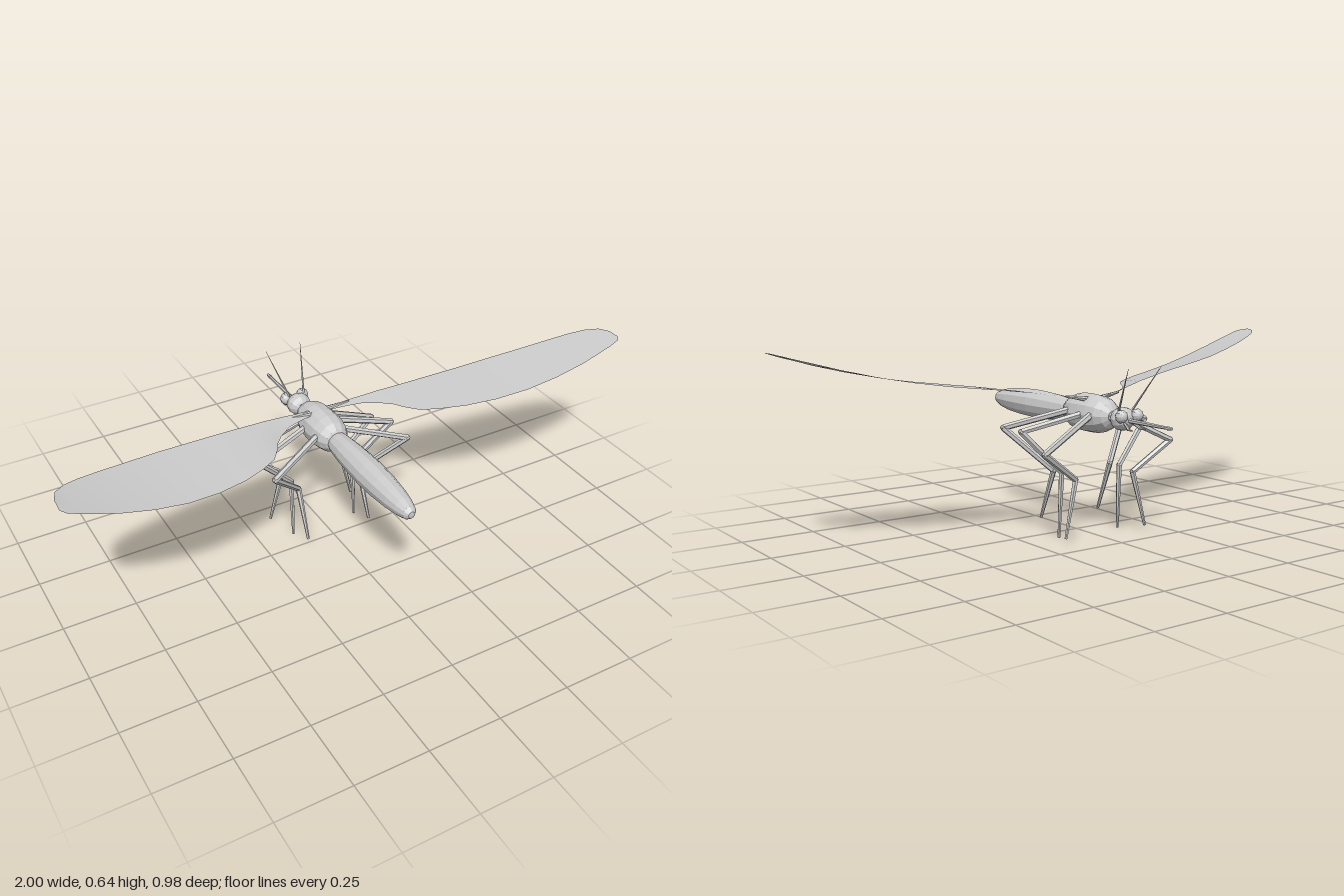
import * as THREE from 'three';

const grey = new THREE.MeshStandardMaterial({ color: 0xcccccc, flatShading: true });
const wingGrey = new THREE.MeshStandardMaterial({ color: 0xcccccc, side: THREE.DoubleSide });
const V = (x, y, z) => new THREE.Vector3(x, y, z);

function add(parent, name, geometry, material = grey) {
  const mesh = new THREE.Mesh(geometry, material);
  mesh.name = name;
  parent.add(mesh);
  return mesh;
}

// Round body turned about the z axis from [radius, z] pairs
function turned(parent, name, y, profile, sides = 12) {
  const geometry = new THREE.LatheGeometry(profile.map(([r, z]) => new THREE.Vector2(r, z)), sides);
  geometry.rotateX(Math.PI / 2);
  add(parent, name, geometry).position.y = y;
}

// Tapered rod between two points
function rod(parent, name, a, b, ra, rb, sides = 6) {
  const dir = b.clone().sub(a);
  const mesh = add(parent, name, new THREE.CylinderGeometry(rb, ra, dir.length(), sides));
  mesh.position.copy(a).add(b).multiplyScalar(0.5);
  mesh.quaternion.setFromUnitVectors(V(0, 1, 0), dir.normalize());
}

function ball(parent, name, center, rx, ry, rz, w = 12, h = 8) {
  const mesh = add(parent, name, new THREE.SphereGeometry(1, w, h).rotateX(Math.PI / 2));
  mesh.scale.set(rx, ry, rz);
  mesh.position.copy(center);
}

// Wing stations: distance from body, leading z, trailing z, height
const wingStations = [
  [0.03, -0.115, -0.088, 0.465], [0.09, -0.1, -0.07, 0.473], [0.14, -0.092, -0.05, 0.48],
  [0.19, -0.082, -0.01, 0.487], [0.22, -0.076, 0.025, 0.492], [0.24, -0.072, 0.06, 0.494],
  [0.275, -0.065, 0.107, 0.498], [0.33, -0.054, 0.142, 0.505], [0.41, -0.04, 0.18, 0.514],
  [0.51, -0.022, 0.212, 0.526], [0.62, 0, 0.236, 0.543], [0.73, 0.032, 0.25, 0.566],
  [0.835, 0.066, 0.256, 0.592], [0.9, 0.092, 0.255, 0.611], [0.95, 0.117, 0.253, 0.625],
  [0.985, 0.15, 0.249, 0.636], [1, 0.19, 0.235, 0.641],
];

function wingGeometry(side, twist) {
  const across = 4, pos = [], index = [];
  wingStations.forEach(([x, lead, trail, y], i) => {
    const blend = Math.sin(Math.PI * Math.min(1, x * 0.95));
    for (let j = 0; j <= across; j++) {
      const t = j / across;
      pos.push(side * x, y + twist * blend * (1 - 2 * t), lead + (trail - lead) * t);
      if (i && j) {
        const d = i * (across + 1) + j, c = d - 1, b = d - across - 1, a = b - 1;
        if (side > 0) index.push(a, b, c, c, b, d);
        else index.push(a, c, b, c, d, b);
      }
    }
  });
  const geometry = new THREE.BufferGeometry();
  geometry.setAttribute('position', new THREE.Float32BufferAttribute(pos, 3));
  geometry.setIndex(index);
  geometry.computeVertexNormals();
  return geometry;
}

// Leg joints [x, y, z] from hip to foot
const legs = {
  frontLeg: [[0.05, 0.415, -0.145], [0.262, 0.31, -0.185], [0.12, 0.21, -0.157], [0.167, 0.02, -0.167]],
  middleLeg: [[0.05, 0.415, -0.1], [0.26, 0.367, -0.05], [0.122, 0.222, -0.082], [0.125, 0, -0.07]],
  rearLeg: [[0.05, 0.42, -0.025], [0.255, 0.367, 0.065], [0.12, 0.222, -0.033], [0.122, 0.05, 0.038]],
};
const legRadii = [0.012, 0.011, 0.01, 0.005];

export function createModel() {
  const model = new THREE.Group();
  model.name = 'mosquito';

  // Body
  turned(model, 'abdomen', 0.411, [[0, -0.01], [0.03, 0], [0.039, 0.04], [0.045, 0.1], [0.049, 0.17],
    [0.051, 0.24], [0.048, 0.32], [0.042, 0.39], [0.034, 0.44], [0.024, 0.475], [0.012, 0.488], [0, 0.49]]);
  turned(model, 'thorax', 0.413, [[0, -0.202], [0.022, -0.2], [0.042, -0.187], [0.056, -0.162], [0.064, -0.125],
    [0.066, -0.083], [0.064, -0.04], [0.056, -0.003], [0.042, 0.022], [0.022, 0.034], [0, 0.036]]);
  rod(model, 'neck', V(0, 0.411, -0.19), V(0, 0.411, -0.23), 0.019, 0.019, 10);

  // Head
  ball(model, 'head', V(0, 0.411, -0.25), 0.043, 0.039, 0.039);
  rod(model, 'proboscis', V(0, 0.408, -0.28), V(0, 0.406, -0.478), 0.008, 0.005);
  rod(model, 'proboscisTip', V(0, 0.406, -0.47), V(0, 0.406, -0.49), 0.007, 0.005);

  for (const side of [1, -1]) {
    ball(model, 'eye', V(side * 0.032, 0.424, -0.284), 0.021, 0.022, 0.021, 10, 8);
    rod(model, 'antenna', V(side * 0.028, 0.44, -0.265), V(side * 0.067, 0.585, -0.36), 0.004, 0.0008, 5);
    rod(model, 'palp', V(side * 0.016, 0.402, -0.28), V(side * 0.024, 0.385, -0.31), 0.005, 0.005);
    rod(model, 'palpTip', V(side * 0.024, 0.385, -0.305), V(side * 0.027, 0.383, -0.333), 0.005, 0.002);

    // Legs in three sections
    for (const [name, joints] of Object.entries(legs)) {
      const leg = new THREE.Group();
      leg.name = name;
      const pts = joints.map(([x, y, z]) => V(side * x, y, z));
      for (let i = 0; i < 3; i++) {
        rod(leg, ['thigh', 'shin', 'foot'][i], pts[i], pts[i + 1], legRadii[i], legRadii[i + 1]);
        if (i) ball(leg, 'joint', pts[i], legRadii[i], legRadii[i], legRadii[i], 6, 4);
      }
      model.add(leg);
    }

    // Wings, the right one slightly pitched
    add(model, side > 0 ? 'leftWing' : 'rightWing', wingGeometry(side, side > 0 ? 0.002 : 0.022), wingGrey);
    rod(model, 'wingRoot', V(side * 0.025, 0.462, -0.1), V(side * 0.11, 0.476, -0.09), 0.01, 0.004);
  }
  return model;
}
